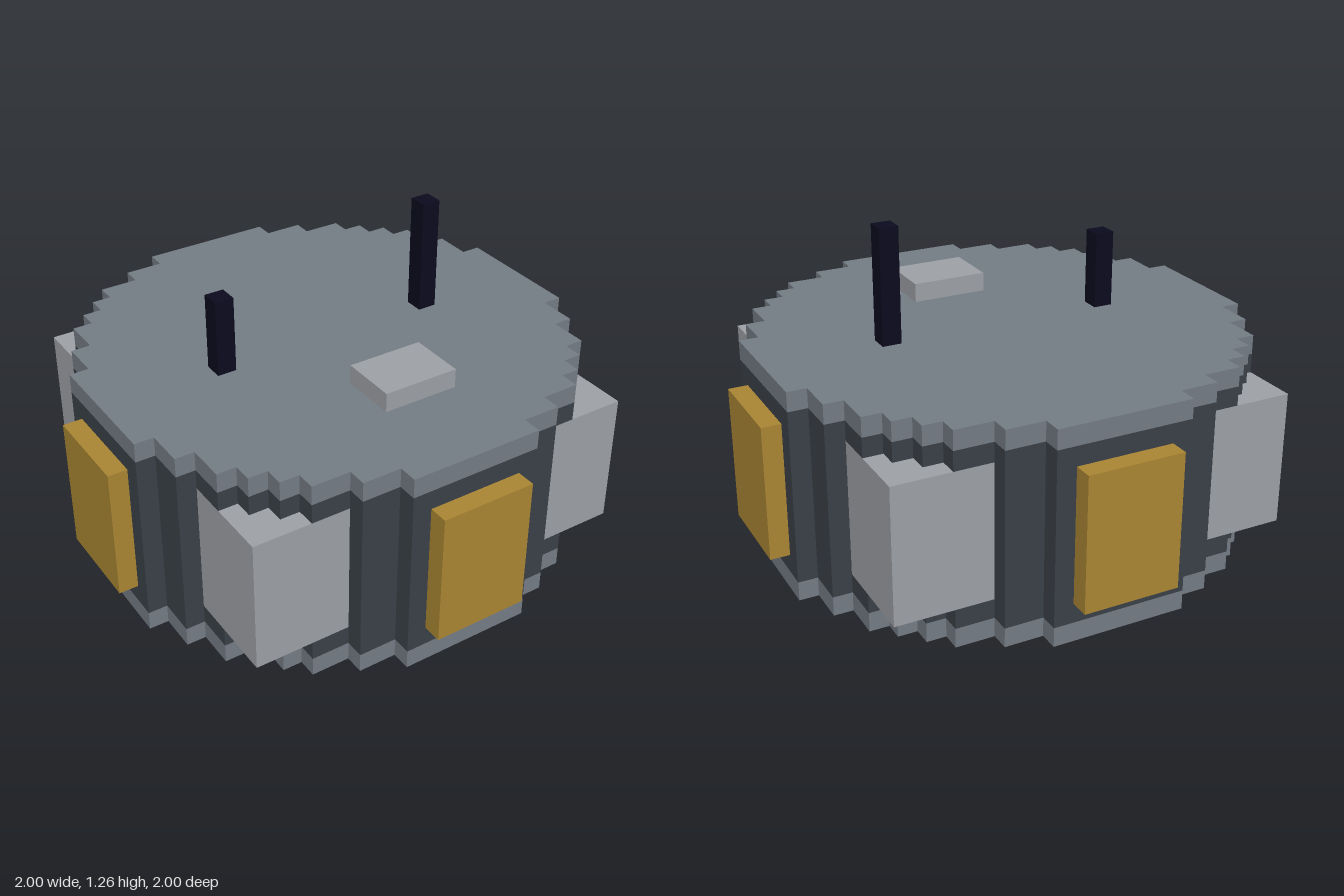
import * as THREE from 'three';

// One block of the stepped grid
const U = 2 / 27;

function material(name, color) {
  const m = new THREE.MeshStandardMaterial({ color });
  m.name = name;
  return m;
}

// Quarter outlines in block units, repeated four times around the centre
const STEPPED = [[12.5, 3.5], [11.5, 3.5], [11.5, 5.5], [10.5, 5.5], [10.5, 7.5], [9.5, 7.5], [9.5, 8.5],
  [8.5, 8.5], [8.5, 9.5], [7.5, 9.5], [7.5, 10.5], [5.5, 10.5], [5.5, 11.5], [3.5, 11.5], [3.5, 12.5]];
const NOTCHED = [[12.5, 3.5], [11.5, 3.5], [11.5, 5.5], [5.5, 5.5], [5.5, 11.5], [3.5, 11.5], [3.5, 12.5]];

export function createModel() {
  const model = new THREE.Group();
  model.name = 'roundStation';

  const hull = material('slate grey', 0x737b84);
  const band = material('charcoal', 0x3a4047);
  const gold = material('gold', 0xa88533);
  const light = material('light grey', 0x9c9fa4);
  const mast = material('dark navy', 0x0a0a1e);

  // Slab with a stepped round outline between two heights
  function disc(name, quarter, y0, y1, mat) {
    const points = [];
    for (let q = 0; q < 4; q++) {
      for (const [x, y] of quarter) {
        const p = new THREE.Vector2(x * U, y * U);
        points.push(p.rotateAround(new THREE.Vector2(), q * Math.PI / 2));
      }
    }
    const geo = new THREE.ExtrudeGeometry(new THREE.Shape(points), { depth: (y1 - y0) * U, bevelEnabled: false });
    geo.rotateX(-Math.PI / 2).translate(0, y0 * U, 0);
    const mesh = new THREE.Mesh(geo, mat);
    mesh.name = name;
    model.add(mesh);
  }

  // Box from its lower and upper corners in block units
  function box(name, a, b, mat) {
    const size = b.map((v, i) => (v - a[i]) * U);
    const mesh = new THREE.Mesh(new THREE.BoxGeometry(...size), mat);
    mesh.position.set(...b.map((v, i) => (v + a[i]) / 2 * U));
    mesh.name = name;
    model.add(mesh);
  }

  // Body: base and roof plates with the dark wall between
  disc('basePlate', STEPPED, 0, 1, hull);
  disc('lowerWall', STEPPED, 1, 2, band);
  disc('middleWall', NOTCHED, 2, 9, band);
  disc('upperWall', STEPPED, 9, 10, band);
  disc('roofPlate', STEPPED, 10, 11, hull);

  // Corner blocks set into the wall
  for (const sx of [-1, 1]) {
    for (const sz of [-1, 1]) {
      const x = 8 * sx, z = 8 * sz;
      box('cornerBlock', [x - 2.5, 2, z - 2.5], [x + 2.5, 9, z + 2.5], light);
    }
  }

  // Gold panels on the four sides
  for (const s of [-1, 1]) {
    const c = 13 * s;
    box('sidePanel', [c - 0.5, 2, -2.5], [c + 0.5, 9, 2.5], gold);
    box(s > 0 ? 'frontPanel' : 'backPanel', [-2.5, 2, c - 0.5], [2.5, 9, c + 0.5], gold);
  }

  // Roof details
  box('roofHatch', [-1.5, 11, 4.5], [2.5, 12, 7.5], light);
  box('leftAntenna', [5.5, 11, -0.5], [6.5, 17, 0.5], mast);
  box('rightAntenna', [-6.5, 11, -0.5], [-5.5, 15, 0.5], mast);

  return model;
}
